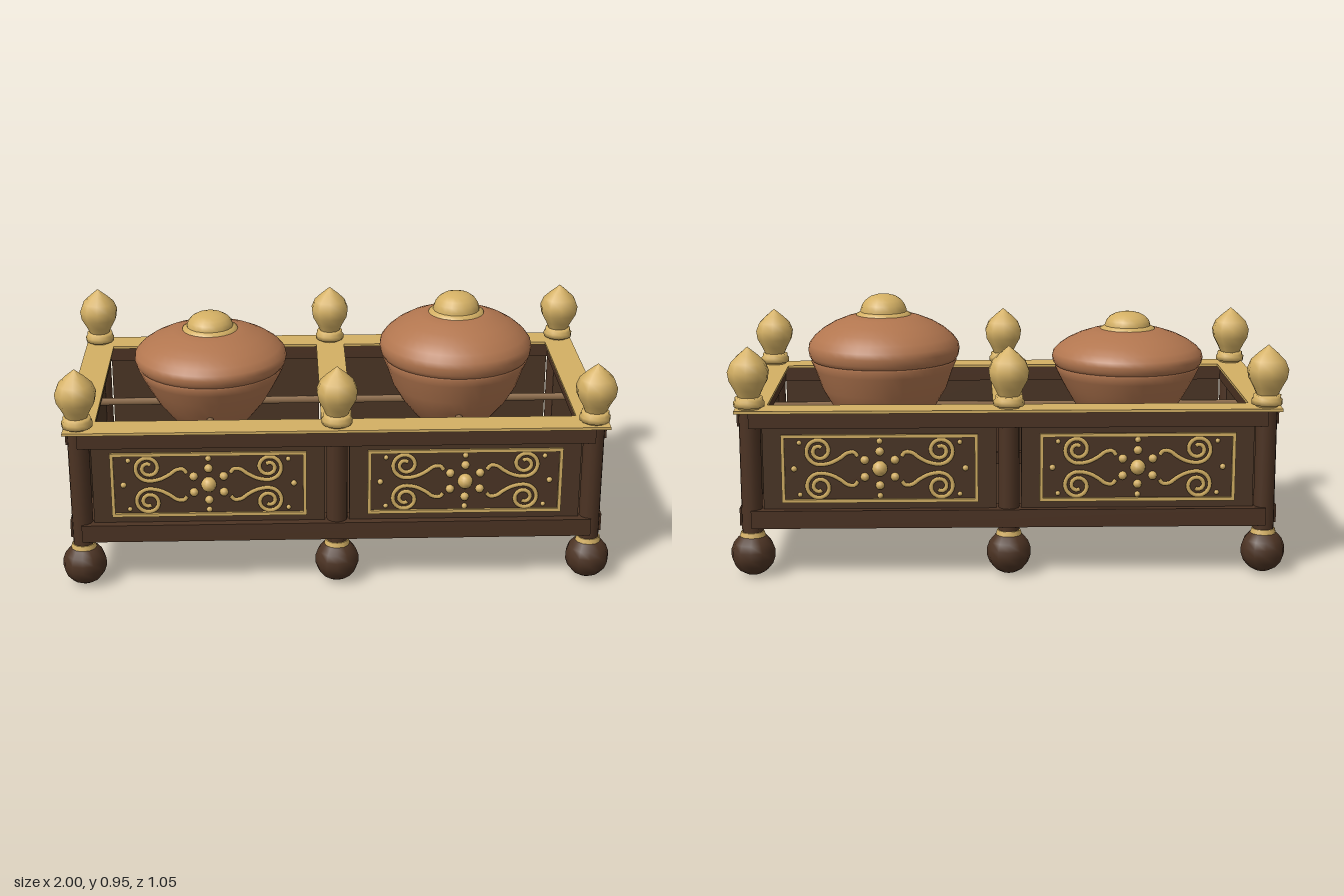
import * as THREE from 'three';

const paint = (name, color) => {
  const m = new THREE.MeshStandardMaterial({ color });
  m.name = name;
  return m;
};

export function createModel() {
  const wood = paint('dark wood', 0x4c3323);
  const panelWood = paint('panel wood', 0x4b3525);
  const gold = paint('gold', 0xd4b064);
  const copper = paint('copper', 0xb2764f);
  const cord = paint('cord', 0x8d6c4b);

  const model = new THREE.Group();
  model.name = 'kettleGongStand';

  const add = (parent, name, geometry, material, x = 0, y = 0, z = 0) => {
    const mesh = new THREE.Mesh(geometry, material);
    mesh.name = name;
    mesh.position.set(x, y, z);
    parent.add(mesh);
    return mesh;
  };
  const box = (parent, name, material, w, h, d, x, y, z) =>
    add(parent, name, new THREE.BoxGeometry(w, h, d), material, x, y, z);
  const lathe = (points, sides) =>
    new THREE.LatheGeometry(points.map(([r, y]) => new THREE.Vector2(r, y)), sides);

  const PX = 0.92, PZ = 0.445;

  // Posts with ball feet, collars and bud finials
  const baseProfile = [[0.04, 0.6], [0.04, 0.617], [0.055, 0.618], [0.056, 0.635], [0.05, 0.64], [0.05, 0.652], [0.03, 0.654]];
  const budProfile = [[0.038, 0.65], [0.052, 0.68], [0.07, 0.712], [0.075, 0.745], [0.062, 0.777], [0.035, 0.803], [0, 0.832]];
  for (const x of [-PX, 0, PX]) {
    for (const z of [-PZ, PZ]) {
      const leg = new THREE.Group();
      leg.name = 'cornerPost';
      leg.position.set(x, 0, z);
      model.add(leg);
      add(leg, 'ballFoot', new THREE.SphereGeometry(0.08, 12, 9), wood, 0, 0.08, 0);
      add(leg, 'footCollar', new THREE.CylinderGeometry(0.042, 0.047, 0.018, 12), gold, 0, 0.152, 0);
      add(leg, 'post', new THREE.CylinderGeometry(0.038, 0.038, 0.45, 12), wood, 0, 0.38, 0);
      add(leg, 'finialBase', lathe(baseProfile, 12), gold);
      add(leg, 'finialBud', lathe(budProfile, 10), gold);
    }
  }

  // Rails, floor and side panels
  for (const [y, h] of [[0.2125, 0.065], [0.573, 0.056]]) {
    for (const s of [-1, 1]) {
      box(model, 'longRail', wood, 2 * PX, h, 0.09, 0, y, s * PZ);
      box(model, 'endRail', wood, 0.09, h, 2 * PZ, s * PX, y, 0);
    }
  }
  box(model, 'middleRail', wood, 0.08, 0.056, 0.8, 0, 0.573, 0);
  box(model, 'floor', panelWood, 2 * PX, 0.02, 2 * PZ, 0, 0.189, 0);
  for (const s of [-1, 1]) box(model, 'endPanel', panelWood, 0.03, 0.32, 0.806, s * PX, 0.395, 0);

  // Gold top frame with two openings
  const outline = (shape, x0, x1, z) => {
    shape.moveTo(x0, -z);
    shape.lineTo(x1, -z);
    shape.lineTo(x1, z);
    shape.lineTo(x0, z);
    shape.closePath();
    return shape;
  };
  const frameShape = outline(new THREE.Shape(), -0.97, 0.97, 0.5);
  frameShape.holes.push(outline(new THREE.Path(), -0.862, -0.055, 0.388));
  frameShape.holes.push(outline(new THREE.Path(), 0.055, 0.862, 0.388));
  const frame = new THREE.ExtrudeGeometry(frameShape, { depth: 0.01, bevelEnabled: false });
  frame.rotateX(-Math.PI / 2);
  add(model, 'topFrame', frame, gold, 0, 0.6, 0);

  // Carved scroll: a spiral that opens into a hooked tail
  const scroll = (sx, sy) => {
    const pts = [];
    for (let i = 0; i <= 20; i++) {
      const t = i / 20;
      const a = -Math.PI / 2 - (1 - t) * Math.PI * 3.2;
      const r = 0.014 + 0.036 * t;
      pts.push([-0.215 + r * Math.cos(a), 0.066 + r * Math.sin(a)]);
    }
    pts.push([-0.175, 0.022], [-0.14, 0.04], [-0.115, 0.058], [-0.09, 0.06], [-0.078, 0.045]);
    const curve = new THREE.CatmullRomCurve3(pts.map(([x, y]) => new THREE.Vector3(x * sx, y * sy, 0)));
    return new THREE.TubeGeometry(curve, 64, 0.008, 5);
  };

  // Carved panel with border, flower and four scrolls
  const carvedPanel = (x, side) => {
    const g = new THREE.Group();
    g.name = 'carvedPanel';
    g.position.set(x, 0.393, side * PZ);
    if (side < 0) g.rotation.y = Math.PI;
    model.add(g);
    box(g, 'panelBoard', panelWood, 0.832, 0.32, 0.03, 0, 0, 0);
    for (const s of [-1, 1]) {
      box(g, 'borderStrip', gold, 0.7, 0.012, 0.012, 0, s * 0.118, 0.018);
      box(g, 'borderStrip', gold, 0.012, 0.248, 0.012, s * 0.344, 0, 0.018);
    }
    for (const sx of [-1, 1]) for (const sy of [-1, 1]) {
      add(g, 'scroll', scroll(sx, sy), gold, 0, 0, 0.018);
      add(g, 'cornerBead', new THREE.SphereGeometry(0.009, 6, 5), gold, sx * 0.285, sy * 0.095, 0.018);
    }
    add(g, 'flowerCentre', new THREE.SphereGeometry(0.028, 10, 8), gold, 0, 0, 0.021);
    for (let i = 0; i < 6; i++) {
      const a = Math.PI / 2 + (i * Math.PI) / 3;
      add(g, 'petal', new THREE.SphereGeometry(0.016, 8, 6), gold, 0.062 * Math.cos(a), 0.062 * Math.sin(a), 0.018);
    }
    for (const s of [-1, 1]) {
      add(g, 'bead', new THREE.SphereGeometry(0.011, 6, 5), gold, 0, s * 0.1, 0.018);
      add(g, 'bead', new THREE.SphereGeometry(0.011, 6, 5), gold, s * 0.305, 0, 0.018);
    }
  };
  for (const x of [-0.46, 0.46]) for (const side of [-1, 1]) carvedPanel(x, side);

  // Cords that carry the gongs
  const rod = (length) => new THREE.CylinderGeometry(0.014, 0.014, length, 6);
  add(model, 'longCord', rod(1.8), cord, 0, 0.53, 0).rotation.z = Math.PI / 2;
  for (const x of [-0.46, 0.46]) add(model, 'crossCord', rod(0.86), cord, x, 0.53, 0).rotation.x = Math.PI / 2;

  // Kettle gongs: lower bowl, domed lid, gold flange and boss
  const gong = (x, rim, height, bossHeight) => {
    const g = new THREE.Group();
    g.name = 'gong';
    g.position.x = x;
    model.add(g);
    const bowl = [[0, 0.45], [0.125, 0.45], [0.16, 0.49], [0.2, 0.54], [0.235, 0.6], [0.26, rim - 0.035], [0.274, rim - 0.004], [0.262, rim + 0.004]];
    add(g, 'bowl', lathe(bowl, 40), copper);
    const lid = [[0.26, 0], [0.272, 0.01], [0.281, 0.1], [0.285, 0.24], [0.281, 0.37], [0.262, 0.52],
      [0.23, 0.68], [0.19, 0.82], [0.14, 0.94], [0.1, 1], [0, 1]];
    add(g, 'lid', lathe(lid.map(([r, t]) => [r, rim + t * height]), 40), copper);
    const top = rim + height;
    add(g, 'bossFlange', lathe([[0.106, -0.012], [0.103, 0.002], [0.088, 0.01], [0.08, 0.012]].map(([r, y]) => [r, top + y]), 24), gold);
    const boss = [[0.087, 0], [0.086, 0.25], [0.08, 0.48], [0.068, 0.7], [0.048, 0.88], [0.024, 0.97], [0, 1]];
    add(g, 'boss', lathe(boss.map(([r, t]) => [r, top + t * bossHeight]), 20), gold);
  };
  gong(-0.46, 0.682, 0.14, 0.063);
  gong(0.46, 0.708, 0.17, 0.077);

  return model;
}
